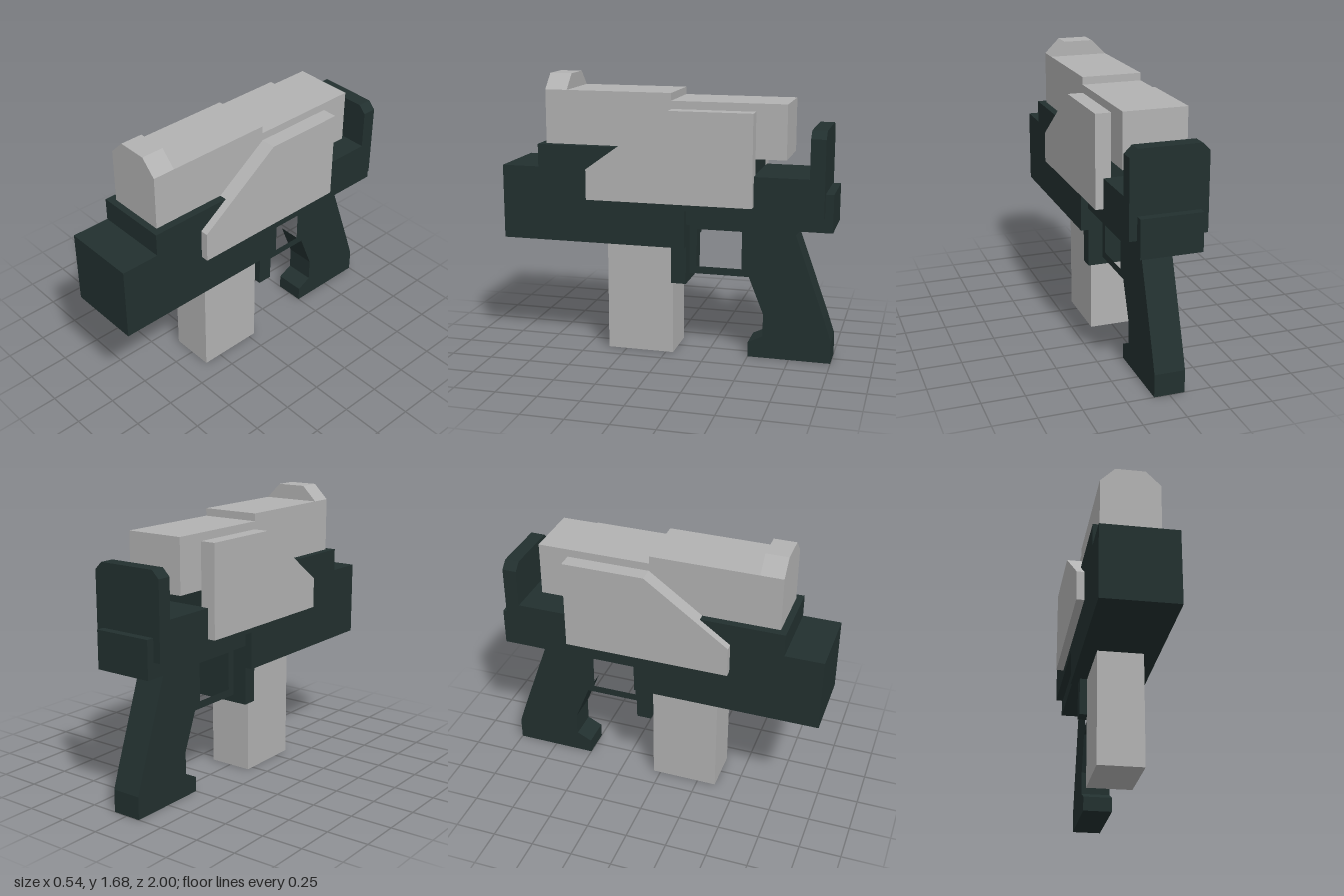
import * as THREE from 'three';

const gunmetal = new THREE.MeshStandardMaterial({ color: 0x22302f });
gunmetal.name = 'dark gunmetal';
const steel = new THREE.MeshStandardMaterial({ color: 0xb2b2b2 });
steel.name = 'light grey';

const path = (points) => points.map(([a, b]) => new THREE.Vector2(a, b));

export function createModel() {
  const group = new THREE.Group();

  const add = (name, geometry, material) => {
    const mesh = new THREE.Mesh(geometry, material);
    mesh.name = name;
    group.add(mesh);
    return mesh;
  };

  // Side profile of (z, y) points, extruded across x from x0 to x1
  const profile = (name, points, x0, x1, material, hole) => {
    const shape = new THREE.Shape(path(points));
    if (hole) shape.holes.push(new THREE.Path(path(hole)));
    const g = new THREE.ExtrudeGeometry(shape, { depth: x1 - x0, bevelEnabled: false });
    g.rotateY(-Math.PI / 2).translate(x1, 0, 0);
    return add(name, g, material);
  };

  // Front outline of (x, y) points, extruded from z0 to z1
  const outline = (name, points, z0, z1, material) => {
    const g = new THREE.ExtrudeGeometry(new THREE.Shape(path(points)), { depth: z1 - z0, bevelEnabled: false });
    return add(name, g.translate(0, 0, z0), material);
  };

  // Centred box given by half width and y, z ranges
  const block = (name, hw, y0, y1, z0, z1, material) =>
    add(name, new THREE.BoxGeometry(hw * 2, y1 - y0, z1 - z0)
      .translate(0, (y0 + y1) / 2, (z0 + z1) / 2), material);

  // Main body with the raised middle
  profile('body', [
    [1, 0.685], [1, 1.135], [0.77, 1.135], [0.77, 1.272], [-0.54, 1.272], [-0.54, 1.135],
    [-0.865, 1.135], [-0.865, 0.91], [-0.135, 0.91], [-0.135, 0.685],
  ], -0.225, 0.225, gunmetal);

  // Rear plate with chamfered top corners
  outline('rearPlate', [
    [-0.225, 0.91], [0.225, 0.91], [0.225, 1.365], [0.18, 1.41], [-0.18, 1.41], [-0.225, 1.365],
  ], -0.952, -0.865, gunmetal);

  // Narrow lower frame: rail, tail block and front lug of the guard
  block('lowerRail', 0.18, 0.82, 0.91, -0.952, -0.135, gunmetal);
  block('tailBlock', 0.18, 0.82, 1.045, -1, -0.952, gunmetal);
  block('frontLug', 0.18, 0.455, 0.685, -0.135, -0.045, gunmetal);

  // Grip and trigger guard in one piece
  profile('grip', [
    [-0.135, 0.82], [-0.135, 0.5], [-0.5, 0.5], [-0.59, 0.275], [-0.59, 0.135], [-0.5, 0.09],
    [-0.5, 0], [-1, 0], [-1, 0.135], [-0.955, 0.27], [-0.775, 0.775], [-0.815, 0.82],
  ], -0.09, 0.09, gunmetal,
  [[-0.18, 0.545], [-0.455, 0.545], [-0.455, 0.775], [-0.18, 0.775]]);

  // Upper slide, stepped down at the rear
  profile('slide', [
    [0.73, 1.272], [0.73, 1.595], [-0.045, 1.595], [-0.045, 1.55], [-0.725, 1.55],
    [-0.725, 1.23], [-0.53, 1.23], [-0.53, 1.272],
  ], -0.18, 0.18, steel);

  // Front sight
  outline('frontSight', [
    [-0.18, 1.595], [0.18, 1.595], [0.09, 1.685], [-0.09, 1.685],
  ], 0.595, 0.73, steel);

  // Sloped side plates
  for (const [name, x0] of [['leftSidePlate', 0.18], ['rightSidePlate', -0.272]]) {
    profile(name, [
      [0.455, 0.957], [0.455, 1.14], [-0.048, 1.503], [-0.545, 1.503], [-0.545, 0.957],
    ], x0, x0 + 0.092, steel);
  }

  // Magazine
  block('magazine', 0.136, 0, 0.685, -0.045, 0.365, steel);

  return group;
}
